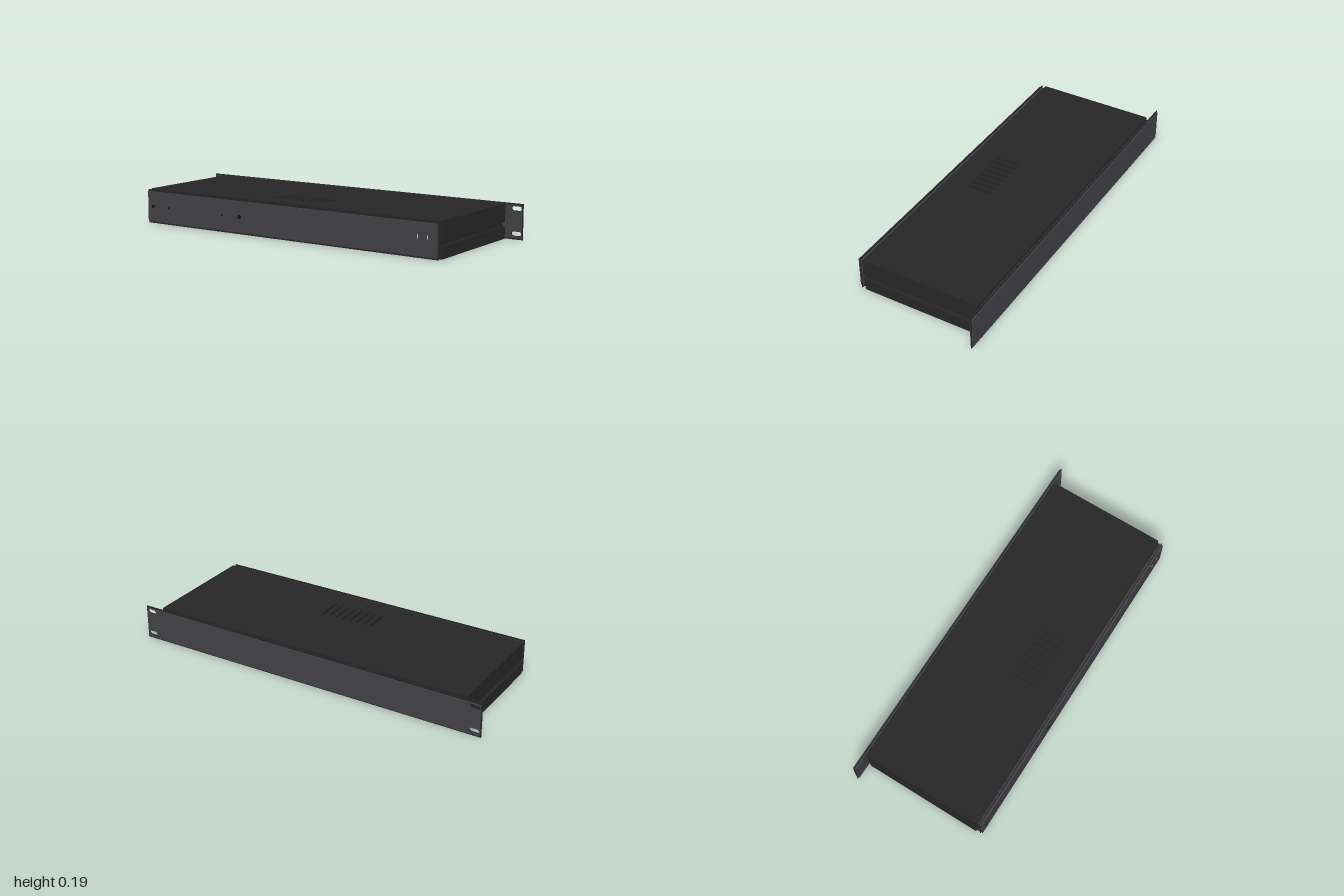
import * as THREE from 'three';

export function createModel() {
  const model = new THREE.Group();
  const mat = (name, color) => {
    const m = new THREE.MeshStandardMaterial({ color });
    m.name = name;
    return m;
  };
  const caseBlack = mat('caseBlack', 0x262626);
  const panelGrey = mat('panelGrey', 0x424147);
  const holeBlack = mat('holeBlack', 0x111111);
  const lightYellow = mat('lightYellow', 0xd8d08c);

  const add = (name, geo, material, parent = model) => {
    const mesh = new THREE.Mesh(geo, material);
    mesh.name = name;
    parent.add(mesh);
    return mesh;
  };
  // box given by its lower and upper corners
  const box = (name, x0, x1, y0, y1, z0, z1, material) =>
    add(name, new THREE.BoxGeometry(x1 - x0, y1 - y0, z1 - z0), material)
      .position.set((x0 + x1) / 2, (y0 + y1) / 2, (z0 + z1) / 2);
  const rect = (x0, x1, y0, y1) => new THREE.Shape([
    new THREE.Vector2(x0, y0), new THREE.Vector2(x1, y0),
    new THREE.Vector2(x1, y1), new THREE.Vector2(x0, y1)]);
  // rounded slot outline, w wide and h high
  const slot = (cx, cy, w, h) => {
    const p = new THREE.Path();
    const r = Math.min(w, h) / 2;
    if (w > h) {
      p.absarc(cx + w / 2 - r, cy, r, -Math.PI / 2, Math.PI / 2);
      p.absarc(cx - w / 2 + r, cy, r, Math.PI / 2, Math.PI * 1.5);
    } else {
      p.absarc(cx, cy + h / 2 - r, r, 0, Math.PI);
      p.absarc(cx, cy - h / 2 + r, r, Math.PI, Math.PI * 2);
    }
    p.closePath();
    return p;
  };
  const extrude = (shape, depth) =>
    new THREE.ExtrudeGeometry(shape, { depth, bevelEnabled: false, curveSegments: 6 });

  // top sheets with ventilation slots
  const topSheet = (name, z0, z1, y0, depth) => {
    const shape = rect(-0.9, 0.9, -z1, -z0);
    for (let i = 0; i < 8; i++) shape.holes.push(slot(-0.15 + i * 0.041, -0.132, 0.017, 0.14));
    const sheet = add(name, extrude(shape, depth), caseBlack);
    sheet.rotation.x = -Math.PI / 2;
    sheet.position.y = y0;
  };
  topSheet('topInnerSheet', -0.339, 0.335, 0.168, 0.008);
  topSheet('topLid', -0.328, 0.32, 0.176, 0.01);

  // bottom sheets
  box('bottomInnerSheet', -0.9, 0.9, 0.012, 0.02, -0.339, 0.335, caseBlack);
  box('bottomLid', -0.9, 0.9, 0.002, 0.012, -0.328, 0.32, caseBlack);

  // side rails, side covers and the groove between them
  for (const s of [-1, 1]) {
    const side = (name, a, b, y0, y1, z0, z1) =>
      box(name, Math.min(s * a, s * b), Math.max(s * a, s * b), y0, y1, z0, z1, caseBlack);
    side('lowerRail', 0.87, 0.9, 0.012, 0.065, -0.339, 0.335);
    side('upperRail', 0.87, 0.9, 0.087, 0.176, -0.339, 0.335);
    side('lowerSideCover', 0.9, 0.908, 0.002, 0.065, -0.328, 0.32);
    side('upperSideCover', 0.9, 0.908, 0.087, 0.186, -0.328, 0.32);
    side('sideGroove', 0.88, 0.893, 0.065, 0.087, -0.328, 0.32);
  }

  // front panel with its thin rim
  box('frontPanel', -0.9, 0.9, 0.012, 0.176, 0.332, 0.355, panelGrey);
  box('frontRim', -0.905, 0.905, 0.002, 0.185, 0.341, 0.345, caseBlack);

  // small sockets and indicator lights on the front
  for (const [x, r] of [[-0.865, 0.009], [-0.752, 0.006], [-0.385, 0.006], [-0.27, 0.011]]) {
    const disc = add('frontHole', new THREE.CylinderGeometry(r, r, 0.001, 12), holeBlack);
    disc.rotation.x = Math.PI / 2;
    disc.position.set(x, 0.095, 0.3555);
  }
  for (const x of [0.795, 0.85])
    box('indicatorLight', x - 0.0025, x + 0.0025, 0.097, 0.117, 0.355, 0.356, lightYellow);

  // rack plate with mounting ears, and its thin rim
  const rackPlate = (name, x, y0, y1, z, depth, grow, material) => {
    const shape = rect(-x, x, y0, y1);
    for (const sx of [-1, 1])
      for (const y of [0.03, 0.16])
        shape.holes.push(slot(sx * 0.964, y, 0.054 + grow, 0.022 + grow));
    add(name, extrude(shape, depth), material).position.z = z;
  };
  rackPlate('rackPlate', 0.994, 0.008, 0.178, -0.355, 0.016, 0.005, panelGrey);
  rackPlate('rackPlateRim', 1, 0, 0.186, -0.349, 0.004, 0, caseBlack);

  return model;
}
